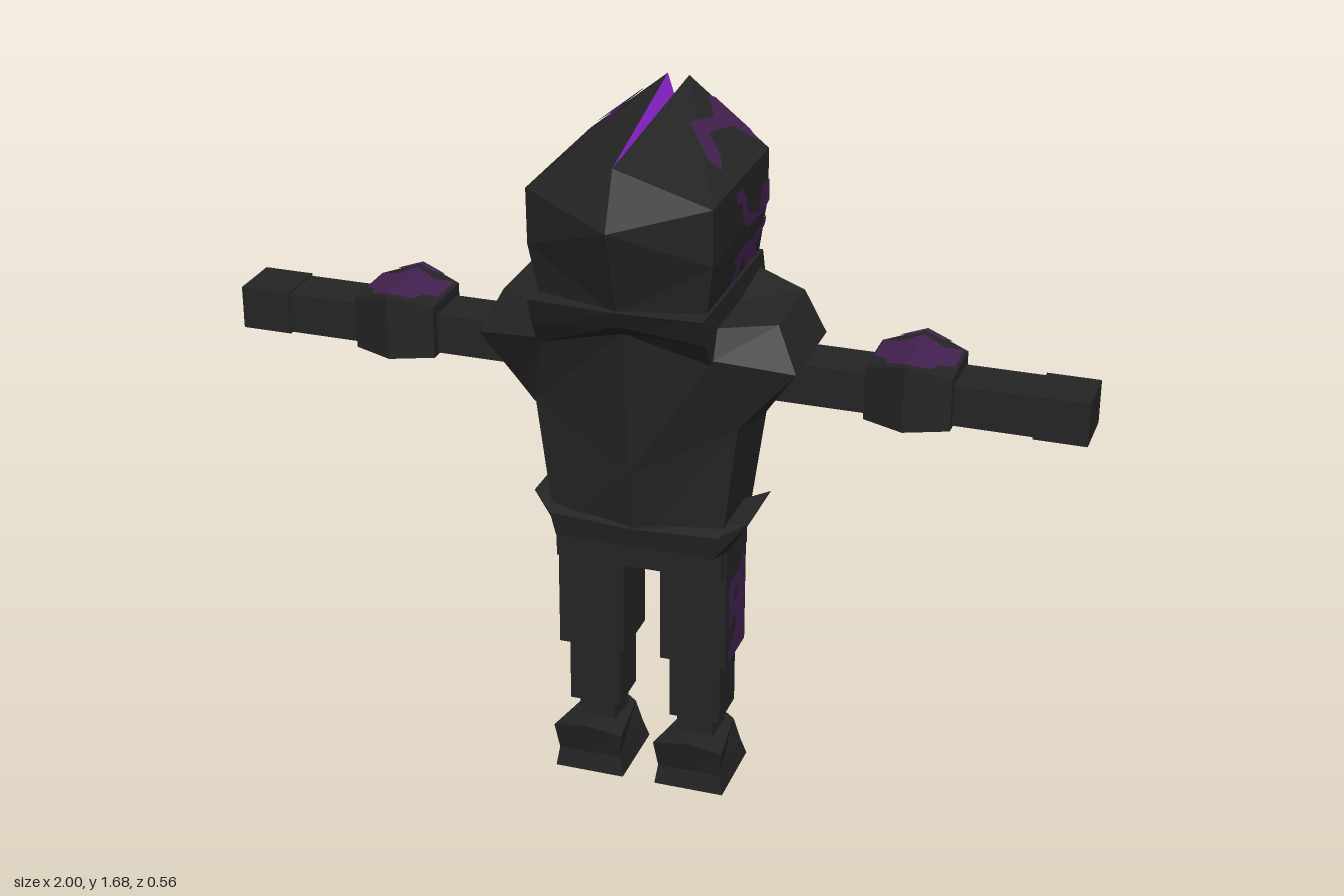
import * as THREE from 'three';

const dark = new THREE.MeshStandardMaterial({ color: 0x252525 });
dark.name = 'charcoal';
const purple = new THREE.MeshStandardMaterial({ color: 0x432150, side: THREE.DoubleSide });
purple.name = 'dusky purple';
const bright = new THREE.MeshStandardMaterial({ color: 0x8a22cc, side: THREE.DoubleSide });
bright.name = 'bright violet';

const mirrorX = ([x, y, z]) => [-x, y, z];

// Flat polygons, each wound so that it faces away from the centre point
function facets(name, polygons, material, centre) {
  const pos = [];
  const c = new THREE.Vector3(...centre);
  for (const poly of polygons) {
    const p = poly.map((q) => new THREE.Vector3(...q));
    for (let i = 1; i < p.length - 1; i++) {
      const tri = [p[0], p[i], p[i + 1]];
      const n = p[i].clone().sub(p[0]).cross(p[i + 1].clone().sub(p[0]));
      const mid = p[0].clone().add(p[i]).add(p[i + 1]).divideScalar(3).sub(c);
      if (n.dot(mid) < 0) tri.reverse();
      tri.forEach((v) => pos.push(v.x, v.y, v.z));
    }
  }
  const g = new THREE.BufferGeometry();
  g.setAttribute('position', new THREE.Float32BufferAttribute(pos, 3));
  g.computeVertexNormals();
  const m = new THREE.Mesh(g, material);
  m.name = name;
  return m;
}

// Closed solid through half cross-sections (front centre round to back centre), mirrored in x
function loft(name, halves, centre) {
  const rings = halves.map((h) => [...h, ...h.slice(1, -1).reverse().map(mirrorX)]);
  const polys = [rings[0], rings[rings.length - 1]];
  for (let r = 0; r < rings.length - 1; r++) {
    const a = rings[r], b = rings[r + 1];
    a.forEach((_, i) => {
      const j = (i + 1) % a.length;
      polys.push([a[i], a[j], b[j], b[i]]);
    });
  }
  return facets(name, polys, dark, centre);
}

// Thin painted patch: a flat outline placed on a surface by a rule
function patch(name, outline, place, hole) {
  const shape = new THREE.Shape(outline.map((p) => new THREE.Vector2(...p)));
  if (hole) shape.holes.push(new THREE.Path().absarc(hole[0], hole[1], hole[2], 0, Math.PI * 2, true));
  const g = new THREE.ShapeGeometry(shape, 4).toNonIndexed();
  const p = g.attributes.position;
  for (let i = 0; i < p.count; i++) p.setXYZ(i, ...place(p.getX(i), p.getY(i)));
  g.computeVertexNormals();
  const m = new THREE.Mesh(g, purple);
  m.name = name;
  return m;
}

// Box from its limits
function block(name, [x0, x1], [y0, y1], [z0, z1]) {
  const m = new THREE.Mesh(new THREE.BoxGeometry(x1 - x0, y1 - y0, z1 - z0), dark);
  m.position.set((x0 + x1) / 2, (y0 + y1) / 2, (z0 + z1) / 2);
  m.name = name;
  return m;
}

function buildHead() {
  const head = new THREE.Group();
  head.name = 'head';
  const c = [0, 1.42, 0];
  const T0 = [0, 1.61, 0.23], T1 = [0.025, 1.68, -0.21];
  const S0 = [0.21, 1.53, 0.195], S1 = [0.21, 1.53, -0.215];
  const M0 = [0.21, 1.4, 0.19], M1 = [0.21, 1.42, -0.22];
  const B0 = [0.19, 1.27, 0.17], B1 = [0.19, 1.27, -0.215];
  const F = [0, 1.48, 0.28], C = [0, 1.27, 0.21];
  const K = [0.02, 1.43, -0.275], KB = [0.02, 1.27, -0.23];
  const G = [0, 1.63, -0.19], GK = [0, 1.43, -0.255], GB = [0, 1.27, -0.215];
  const both = (list) => [...list, ...list.map((p) => p.map(mirrorX))];
  head.add(facets('helmet', both([
    [T1, S0, S1], [T1, T0, S0], [T0, F, S0], [S0, F, M0], [M0, F, C], [M0, C, B0],
    [S0, M0, M1, S1], [M0, B0, B1, M1], [C, B0, B1, GB],
  ]), dark, c));
  head.add(facets('backPlates', both([[K, T1, S1], [K, S1, M1], [K, M1, B1], [K, B1, KB]]), purple, c));
  head.add(facets('crestGroove', both([[T0, T1, G], [T1, K, GK, G], [K, KB, GB, GK]]), bright, c));

  // Markings on the roof and the cheeks
  const roof = [[0.19, -0.2], [0.165, -0.213], [0.085, -0.21], [0.075, -0.19], [0.107, -0.135], [0.085, -0.03],
    [0.15, 0.045], [0.18, 0.035], [0.16, -0.015], [0.12, -0.055], [0.14, -0.16]];
  const upper = [[0.045, 1.51], [0, 1.51], [-0.035, 1.48], [-0.05, 1.435], [-0.13, 1.415], [-0.16, 1.46], [-0.213, 1.46],
    [-0.216, 1.41], [-0.175, 1.395], [-0.06, 1.4], [-0.02, 1.425], [-0.005, 1.475], [0.035, 1.485]];
  const lower = [[0.027, 1.35], [-0.085, 1.362], [-0.115, 1.348], [-0.21, 1.375], [-0.212, 1.352], [-0.143, 1.325],
    [-0.185, 1.29], [-0.085, 1.293], [-0.063, 1.335], [-0.018, 1.293], [0.027, 1.293], [-0.01, 1.325]];
  for (const s of [1, -1]) {
    const cheek = (z, y) => [s * (0.214 - Math.max(0, 1.41 - y) * 0.143), y, z];
    head.add(patch('roofMarking', roof, (x, z) => [s * x, 1.535 + (0.21 - x) * 0.811, z]));
    head.add(patch('upperCheekMarking', upper, cheek));
    head.add(patch('lowerCheekMarking', lower, cheek));
  }
  return head;
}

function buildTorso() {
  const torso = new THREE.Group();
  torso.name = 'torso';
  torso.add(loft('collar', [
    [[0, 1.21, 0.17], [0.2, 1.16, 0.165], [0.2, 1.16, -0.22], [0, 1.16, -0.235]],
    [[0, 1.24, 0.205], [0.2, 1.22, 0.2], [0.2, 1.2, -0.25], [0, 1.18, -0.265]],
    [[0, 1.28, 0.225], [0.2, 1.285, 0.225], [0.2, 1.285, -0.22], [0, 1.285, -0.23]],
  ], [0, 1.23, 0]));
  const low = [[0, 0.85, 0.13], [0.24, 0.98, 0.09], [0.29, 1.01, 0.06], [0.29, 1.01, -0.14], [0.22, 0.96, -0.2], [0, 0.86, -0.23]];
  const mid = [[0, 1.21, 0.165], [0.2, 1.165, 0.15], [0.37, 1.13, 0.09], [0.37, 1.13, -0.16], [0.25, 1.13, -0.215], [0, 1.1, -0.27]];
  const top = [[0, 1.23, 0.14], [0.2, 1.23, 0.12], [0.32, 1.23, 0.06], [0.32, 1.23, -0.15], [0.2, 1.25, -0.2], [0, 1.25, -0.22]];
  torso.add(loft('chest', [low, mid, top], [0, 1.1, -0.03]));
  torso.add(loft('abdomen', [
    [[0, 0.65, 0.09], [0.2, 0.65, 0.075], [0.2, 0.65, -0.15], [0, 0.65, -0.19]],
    [[0, 0.86, 0.125], [0.24, 0.99, 0.085], [0.24, 0.99, -0.18], [0, 0.87, -0.225]],
  ], [0, 0.8, -0.05]));
  torso.add(loft('belt', [
    [[0, 0.65, 0.1], [0.19, 0.65, 0.1], [0.21, 0.65, 0.05], [0.21, 0.65, -0.12], [0.19, 0.65, -0.18], [0, 0.66, -0.195]],
    [[0, 0.7, 0.11], [0.2, 0.71, 0.11], [0.26, 0.73, 0.05], [0.26, 0.73, -0.12], [0.2, 0.7, -0.19], [0, 0.69, -0.205]],
  ], [0, 0.68, -0.04]));
  torso.add(block('hips', [-0.2, 0.2], [0.58, 0.66], [-0.135, 0.07]));

  // Off-centre patch on the upper back
  const mix = THREE.MathUtils.lerp;
  torso.add(patch('backPatch', [[0.06, 0.4], [0.3, 0.32], [0.46, 0.4], [0.5, 0.85], [0.08, 0.86]], (u, v) =>
    [0, 1, 2].map((k) => mix(mix(low[5][k], mid[5][k], v), mix(low[4][k], mid[4][k], v), u) - (k === 2 ? 0.009 : 0))));
  return torso;
}

function buildArm(s) {
  const arm = new THREE.Group();
  arm.name = s > 0 ? 'leftArm' : 'rightArm';
  const span = (a, b) => (s > 0 ? [a, b] : [-b, -a]);
  arm.add(block('sleeve', span(0.25, 0.88), [1.025, 1.12], [-0.11, 0.01]));
  arm.add(block('hand', span(0.88, 1), [1.022, 1.124], [-0.115, 0.015]));
  const elbow = new THREE.Group();
  elbow.name = 'elbow';
  elbow.position.x = s * 0.605;
  const ring = (yMid, ySide) => [[0, yMid, 0.07], [0.097, ySide, 0.03], [0.097, ySide, -0.125], [0, yMid, -0.148]];
  elbow.add(loft('elbowPad', [ring(1.02, 1.02), ring(1.175, 1.145)], [0, 1.09, -0.04]));
  const body = [[0, -0.11], [0.05, -0.09], [0.09, -0.115], [0.09, -0.02], [0.06, 0], [0.05, 0.035], [0, 0.06]];
  const strip = [[0, -0.145], [0.06, -0.132], [0.04, -0.12], [0, -0.13]];
  for (const m of [1, -1]) for (const outline of [body, strip]) {
    elbow.add(patch('elbowMarking', outline, (x, z) => [m * x, 1.179 - x * 0.309, z]));
  }
  arm.add(elbow);
  return arm;
}

function buildLeg(s) {
  const leg = new THREE.Group();
  leg.name = s > 0 ? 'leftLeg' : 'rightLeg';
  const span = (a, b) => (s > 0 ? [a, b] : [-b, -a]);
  leg.add(block('thigh', span(0.045, 0.205), [0.335, 0.65], [-0.11, 0.045]));
  leg.add(block('kneeBack', span(0.075, 0.175), [0.31, 0.4], [-0.122, -0.06]));
  leg.add(block('shin', span(0.063, 0.187), [0.17, 0.34], [-0.095, 0.025]));
  leg.add(block('ankle', span(0.078, 0.167), [0.1, 0.18], [-0.083, 0.015]));
  const foot = loft('foot', [
    [[0, 0, 0.07], [0.085, 0, 0.07], [0.085, 0, -0.13], [0.045, 0, -0.19], [0, 0, -0.19]],
    [[0, 0.05, 0.065], [0.077, 0.05, 0.065], [0.075, 0.05, -0.11], [0.04, 0.05, -0.162], [0, 0.05, -0.162]],
    [[0, 0.14, 0.092], [0.085, 0.12, 0.08], [0.06, 0.11, -0.1], [0.035, 0.107, -0.125], [0, 0.107, -0.125]],
  ], [0, 0.06, -0.03]);
  foot.position.x = s * 0.125;
  leg.add(foot);

  // Blotchy marking on the outer thigh
  const blotch = [[0.032, 0.555], [-0.018, 0.558], [-0.045, 0.55], [-0.06, 0.58], [-0.085, 0.585], [-0.09, 0.55], [-0.072, 0.522],
    [-0.094, 0.505], [-0.094, 0.345], [0.03, 0.342], [0.032, 0.37], [-0.018, 0.405], [-0.036, 0.435], [-0.01, 0.45],
    [0.028, 0.425], [0.032, 0.48]];
  leg.add(patch('thighMarking', blotch, (z, y) => [s * 0.209, y, z], [-0.022, 0.505, 0.018]));
  return leg;
}

export function createModel() {
  const model = new THREE.Group();
  model.name = 'armouredFigure';
  model.add(buildHead(), buildTorso());
  for (const s of [1, -1]) model.add(buildArm(s), buildLeg(s));
  return model;
}
